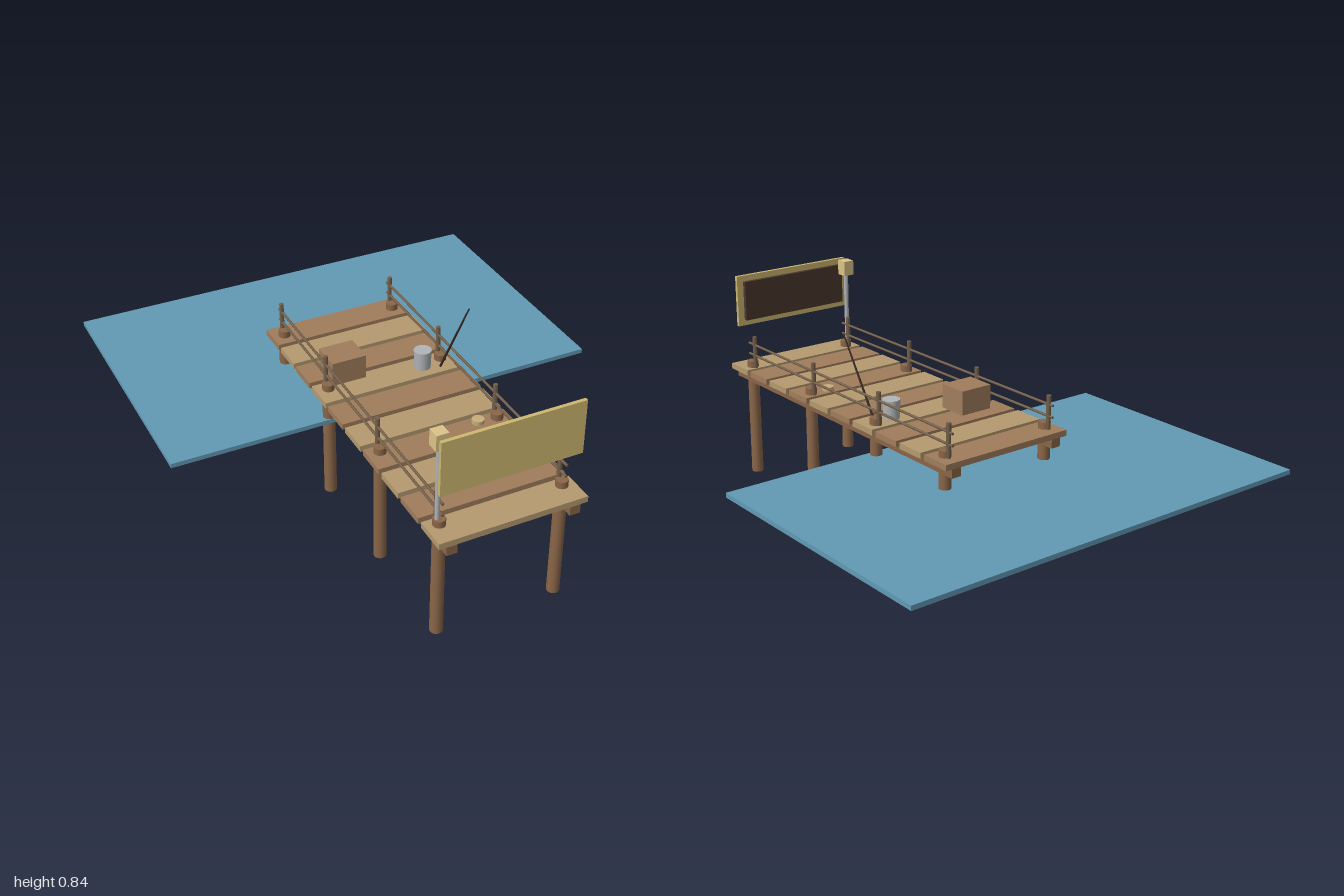
import * as THREE from 'three';

export function createModel() {
  const model = new THREE.Group();
  model.name = 'fishingPier';

  const mat = (color) => new THREE.MeshStandardMaterial({ color });
  const darkWood = mat(0xa07d5c), lightWood = mat(0xb59a70), postWood = mat(0x8a6648);
  const railWood = mat(0x75604a), waterBlue = mat(0x629ab5), metal = mat(0xb0b4b8);
  const yellow = mat(0xcdb870), darkPanel = mat(0x4a382c), lampCream = mat(0xdcc388);
  const rodBrown = mat(0x3a2a20), beige = mat(0xc8ae7c);

  function add(name, geometry, material, x, y, z) {
    const mesh = new THREE.Mesh(geometry, material);
    mesh.name = name;
    mesh.position.set(x, y, z);
    model.add(mesh);
    return mesh;
  }

  // box given by its extent on each axis
  function box(name, material, [x0, x1], [y0, y1], [z0, z1]) {
    return add(name, new THREE.BoxGeometry(x1 - x0, y1 - y0, z1 - z0), material,
      (x0 + x1) / 2, (y0 + y1) / 2, (z0 + z1) / 2);
  }

  // upright cylinder from y0 to y1
  function column(name, material, x, z, y0, y1, rTop, rBottom = rTop, sides = 16) {
    return add(name, new THREE.CylinderGeometry(rTop, rBottom, y1 - y0, sides), material,
      x, (y0 + y1) / 2, z);
  }

  // thin round bar between two points
  function bar(name, material, from, to, rStart, rEnd = rStart) {
    const a = new THREE.Vector3(...from), b = new THREE.Vector3(...to);
    const dir = b.clone().sub(a);
    const mid = a.clone().add(b).multiplyScalar(0.5);
    const mesh = add(name, new THREE.CylinderGeometry(rEnd, rStart, dir.length(), 8), material,
      mid.x, mid.y, mid.z);
    mesh.quaternion.setFromUnitVectors(new THREE.Vector3(0, 1, 0), dir.normalize());
    return mesh;
  }

  // water slab
  box('water', waterBlue, [-0.86, 0.86], [0.323, 0.341], [-1, 0.07]);

  // deck planks, alternating tones
  for (let i = 0; i < 10; i++) {
    const z = 0.936 - i * 0.1453;
    box('plank', i % 2 ? darkWood : lightWood, [-0.28, 0.28], [0.438, 0.461], [z - 0.062, z + 0.062]);
  }

  // piles, stringers and railings on both sides
  for (const side of [-1, 1]) {
    const x = side * 0.232;
    box('stringer', postWood, [x - 0.02, x + 0.02], [0.402, 0.437], [-0.43, 0.998]);
    for (const z of [0.908, 0.475, 0.045, -0.366]) {
      column('pile', postWood, x, z, 0, 0.487, 0.023, 0.024);
      column('railPost', railWood, x, z - 0.02, 0.46, 0.592, 0.009, 0.009, 8);
    }
    for (const y of [0.512, 0.557]) {
      bar('rail', railWood, [x, y, -0.41], [x, y, 0.93], 0.005);
    }
  }

  // sign board with dark back panel
  box('signBoard', yellow, [-0.265, 0.263], [0.626, 0.835], [0.954, 0.968]);
  box('signPanel', darkPanel, [-0.24, 0.235], [0.65, 0.811], [0.938, 0.956]);

  // lamp on its pole
  column('lampPole', metal, -0.24, 0.908, 0.46, 0.78, 0.009, 0.009, 12);
  box('lamp', lampCream, [-0.263, -0.217], [0.775, 0.836], [0.885, 0.931]);

  // things lying on the deck
  box('crate', darkWood, [-0.21, -0.074], [0.46, 0.556], [-0.084, 0.035]);
  column('bucket', metal, 0.147, 0.063, 0.46, 0.535, 0.034, 0.031, 20);
  column('baitTin', beige, 0.157, 0.47, 0.46, 0.477, 0.023, 0.023, 16);
  bar('fishingRod', rodBrown, [0.208, 0.462, 0.092], [0.249, 0.77, 0.219], 0.005, 0.003);

  return model;
}
